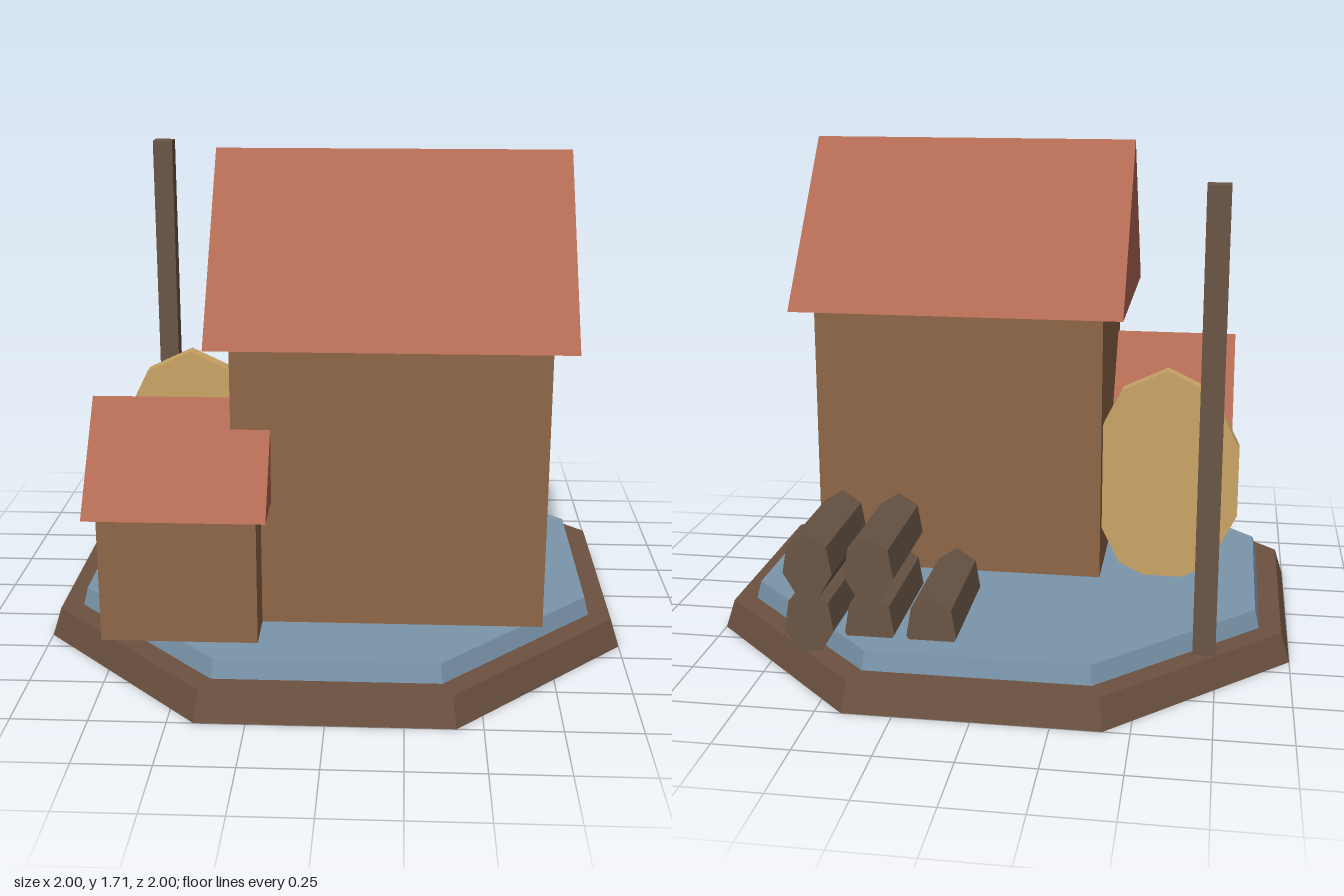
import * as THREE from 'three';

const mat = (name, color) => {
  const m = new THREE.MeshStandardMaterial({ color, flatShading: true });
  m.name = name;
  return m;
};

export function createModel() {
  const model = new THREE.Group();
  const earth = mat('earth brown', 0x6c5140);
  const timber = mat('dark timber', 0x6a5646);
  const water = mat('water blue', 0x7a95ab);
  const wall = mat('wall brown', 0x8e6747);
  const tile = mat('roof red', 0xb26953);
  const straw = mat('wheel tan', 0xcaa667);

  const add = (name, geometry, material, x, y, z) => {
    const mesh = new THREE.Mesh(geometry, material);
    mesh.name = name;
    mesh.position.set(x, y, z);
    model.add(mesh);
    return mesh;
  };

  // Box given by its limits on each axis
  const box = (name, material, [x0, x1], [y0, y1], [z0, z1]) =>
    add(name, new THREE.BoxGeometry(x1 - x0, y1 - y0, z1 - z0), material,
      (x0 + x1) / 2, (y0 + y1) / 2, (z0 + z1) / 2);

  // Eight-sided slab with sloping sides, sized by its flat-to-centre distance
  const slab = (name, material, top, bottom, y0, y1) => {
    const k = 1 / Math.cos(Math.PI / 8);
    const g = new THREE.CylinderGeometry(top * k, bottom * k, y1 - y0, 8);
    add(name, g.rotateY(Math.PI / 8), material, 0, (y0 + y1) / 2, 0);
  };

  // Gabled roof prism with its ridge along x
  const roof = (name, [x0, x1], [y0, y1], [z0, z1]) => {
    const half = (z1 - z0) / 2;
    const shape = new THREE.Shape([
      new THREE.Vector2(-half, 0),
      new THREE.Vector2(half, 0),
      new THREE.Vector2(0, y1 - y0),
    ]);
    const g = new THREE.ExtrudeGeometry(shape, { depth: x1 - x0, bevelEnabled: false });
    g.translate(0, 0, (x0 - x1) / 2).rotateY(Math.PI / 2);
    add(name, g, tile, (x0 + x1) / 2, y0, (z0 + z1) / 2);
  };

  // Upright disc or lying log: polygon along z with one corner at the top
  const prism = (name, material, sides, rx, ry, length, x, y, z) => {
    const g = new THREE.CylinderGeometry(1, 1, length, sides);
    g.rotateX(-Math.PI / 2).scale(rx, ry, 1);
    add(name, g, material, x, y, z);
  };

  // Ground and pond
  slab('base', earth, 0.97, 1, 0, 0.1);
  slab('pond', water, 0.88, 0.895, 0.1, 0.163);

  // Main house
  box('houseWalls', wall, [-0.325, 0.71], [0.168, 1.13], [-0.16, 0.615]);
  roof('houseRoof', [-0.4, 0.785], [1.13, 1.71], [-0.235, 0.69]);

  // Side annex
  box('annexWalls', wall, [-0.745, -0.23], [0.168, 0.6], [0.315, 0.775]);
  roof('annexRoof', [-0.785, -0.195], [0.6, 0.935], [0.275, 0.815]);

  // Water wheel and pole
  prism('waterWheel', straw, 10, 0.273, 0.4, 0.06, -0.55, 0.53, -0.068);
  box('pole', timber, [-0.75, -0.675], [0.09, 1.64], [-0.62, -0.545]);

  // Stacked logs: column x and number of rows
  for (const [x, rows] of [[0.167, 1], [0.373, 2], [0.578, 2]]) {
    for (let i = 0; i < rows; i++) {
      prism('log', timber, 7, 0.085, 0.115, 0.45, x, 0.2 + i * 0.195, -0.55);
    }
  }

  return model;
}
